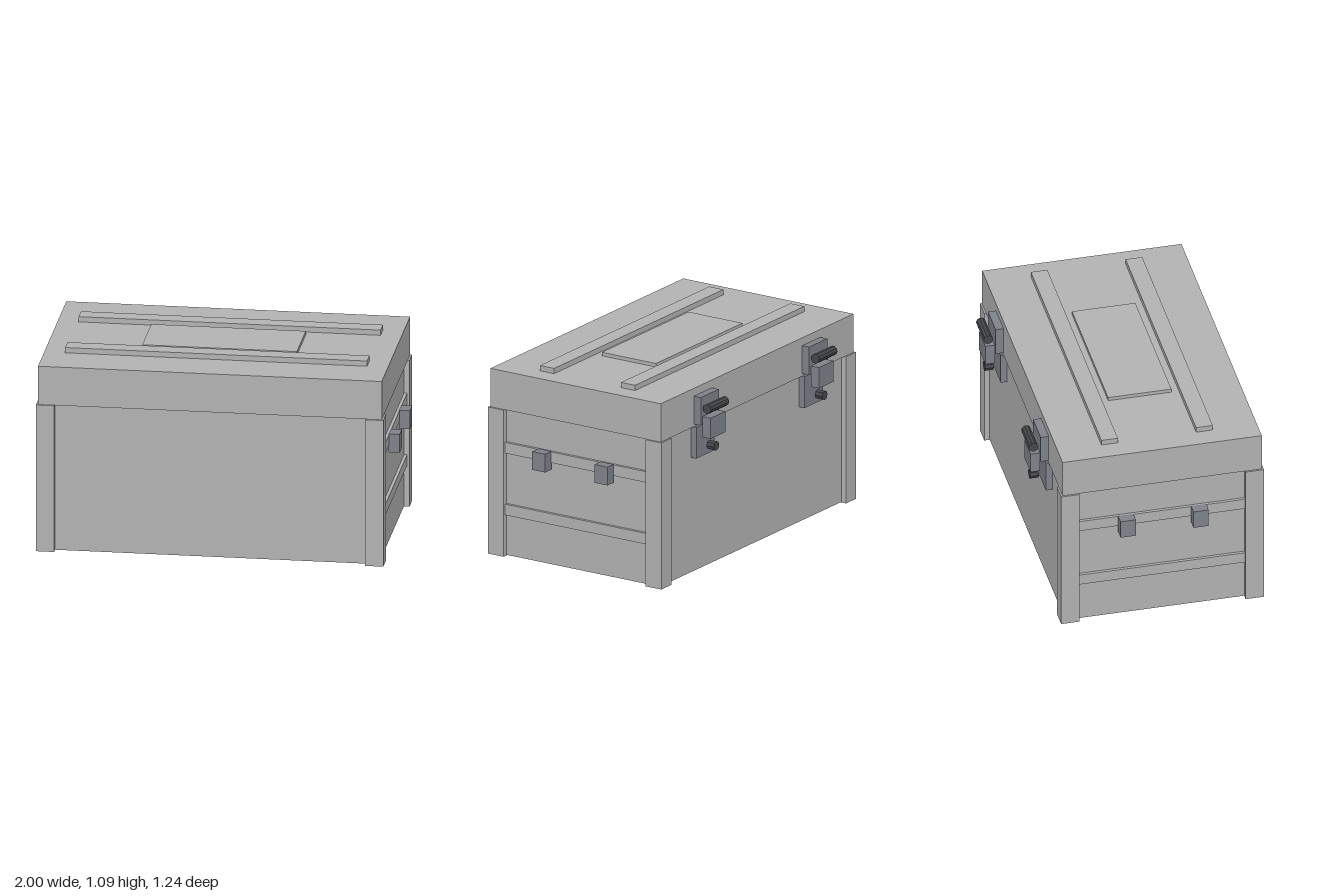
import * as THREE from 'three';

export function createModel() {
  const model = new THREE.Group();
  model.name = 'storageCrate';

  const mat = (name, color) => {
    const m = new THREE.MeshStandardMaterial({ color });
    m.name = name;
    return m;
  };
  const shell = mat('lightGrey', 0xb2b2b2);
  const metal = mat('steelGrey', 0x7f828a);
  const dark = mat('darkSteel', 0x45474b);
  dark.flatShading = true;

  // Box given by its extents on each axis
  const box = (parent, name, material, [x0, x1], [y0, y1], [z0, z1]) => {
    const mesh = new THREE.Mesh(new THREE.BoxGeometry(x1 - x0, y1 - y0, z1 - z0), material);
    mesh.position.set((x0 + x1) / 2, (y0 + y1) / 2, (z0 + z1) / 2);
    mesh.name = name;
    parent.add(mesh);
    return mesh;
  };
  // Extents on the x axis, mirrored for side -1
  const span = (side, a, b) => (side > 0 ? [a, b] : [-b, -a]);

  // Body and lid
  box(model, 'body', shell, [-0.925, 0.925], [0.003, 0.84], [-0.485, 0.59]);
  box(model, 'lid', shell, [-0.945, 0.945], [0.84, 1.06], [-0.505, 0.61]);

  // Raised lid details
  box(model, 'lidPlate', shell, [-0.425, 0.425], [1.06, 1.08], [-0.126, 0.228]);
  for (const z of [[0.27, 0.363], [-0.26, -0.168]]) {
    box(model, 'lidRib', shell, [-0.83, 0.83], [1.06, 1.09], z);
  }

  for (const side of [1, -1]) {
    // Corner posts
    for (const z of [[0.517, 0.62], [-0.515, -0.412]]) {
      box(model, 'cornerPost', shell, span(side, 0.855, 0.955), [0, 0.84], z);
    }
    // Side slats
    for (const y of [[0.236, 0.298], [0.59, 0.652]]) {
      box(model, 'sideSlat', shell, span(side, 0.915, 0.942), y, [-0.42, 0.525]);
    }
    // Handle brackets
    for (const z of [[0.215, 0.3], [-0.193, -0.108]]) {
      box(model, 'handleBracket', metal, span(side, 0.94, 1), [0.55, 0.655], z);
    }

    // Rear latch
    const latch = new THREE.Group();
    latch.name = 'latch';
    latch.position.x = side * 0.531;
    model.add(latch);
    box(latch, 'upperPlate', metal, [-0.089, 0.089], [0.855, 1.015], [-0.55, -0.505]);
    box(latch, 'lowerPlate', metal, [-0.089, 0.089], [0.66, 0.84], [-0.521, -0.485]);
    box(latch, 'hasp', metal, [-0.072, 0.072], [0.783, 0.902], [-0.603, -0.55]);

    const roller = new THREE.Mesh(new THREE.CylinderGeometry(0.027, 0.027, 0.178, 10), dark);
    roller.name = 'hingeRoller';
    roller.rotation.z = Math.PI / 2;
    roller.position.set(0, 0.955, -0.59);
    latch.add(roller);

    const knob = new THREE.Mesh(new THREE.CylinderGeometry(0.027, 0.027, 0.048, 8), dark);
    knob.name = 'latchKnob';
    knob.rotation.x = Math.PI / 2;
    knob.position.set(0, 0.722, -0.569);
    latch.add(knob);
  }

  return model;
}
